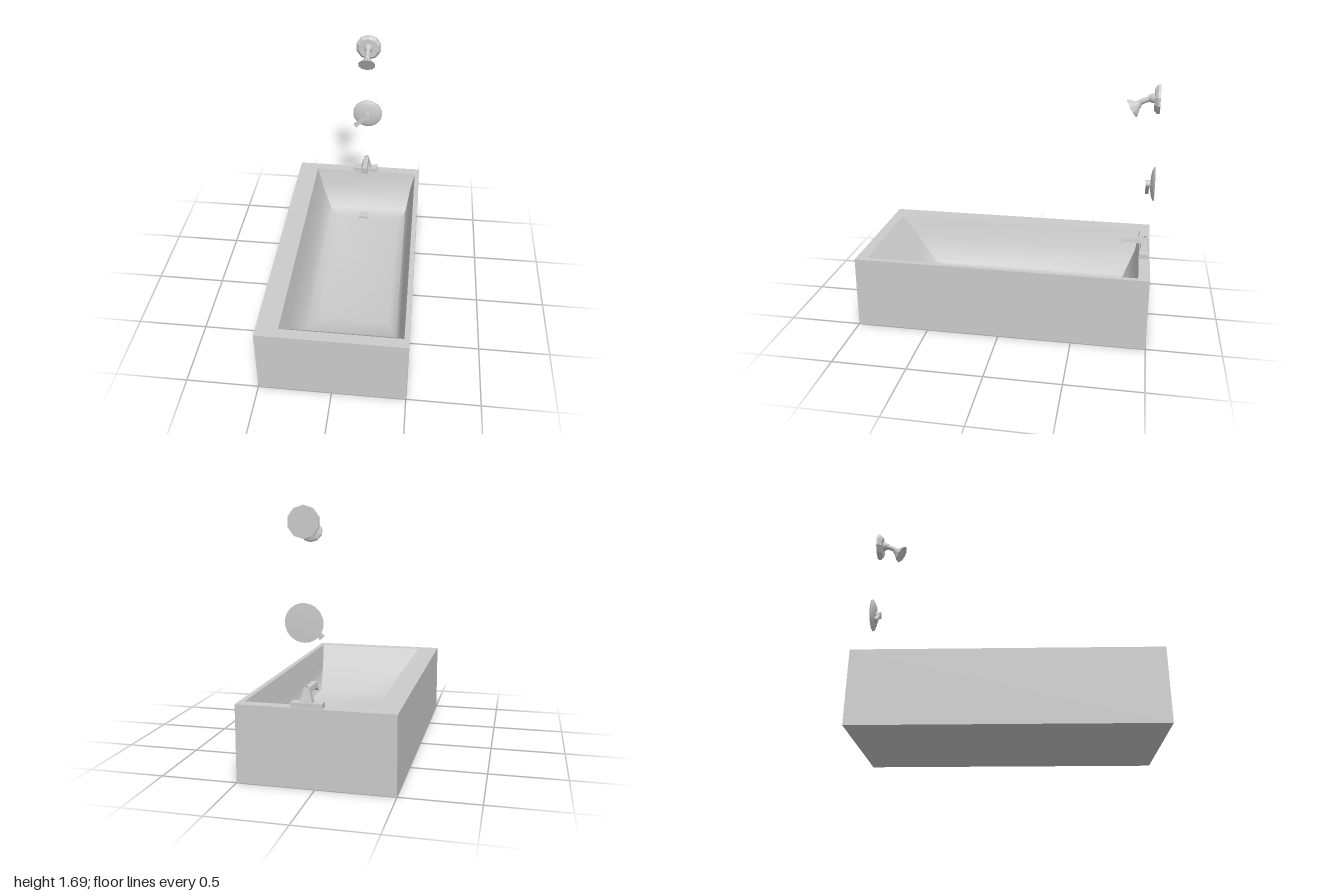
import * as THREE from 'three';
import { toCreasedNormals } from 'three/addons/utils/BufferGeometryUtils.js';

const smooth = new THREE.MeshStandardMaterial({ color: 0xcccccc, side: THREE.DoubleSide });
const flat = new THREE.MeshStandardMaterial({ color: 0xcccccc, flatShading: true });
const CX = 0.055; // all fittings share this centre line

function add(parent, name, geometry, material = flat, x = 0, y = 0, z = 0) {
  const mesh = new THREE.Mesh(geometry, material);
  mesh.name = name;
  mesh.position.set(x, y, z);
  parent.add(mesh);
  return mesh;
}

// Lathe whose axis points along +z; profile is [radius, distance]
function latheZ(profile, sides) {
  const points = profile.map(([r, d]) => new THREE.Vector2(r, d));
  return new THREE.LatheGeometry(points, sides).rotateX(Math.PI / 2);
}

// Four-sided tapered block centred on x and z, standing on y = 0
function taperedBlock(w0, d0, w1, d1, h) {
  const g = new THREE.BoxGeometry(1, h, 1).translate(0, h / 2, 0);
  const p = g.attributes.position;
  for (let i = 0; i < p.count; i++) {
    const top = p.getY(i) > h / 2;
    p.setX(i, p.getX(i) * (top ? w1 : w0));
    p.setZ(i, p.getZ(i) * (top ? d1 : d0));
  }
  return g;
}

// Closed skin of rectangular rings [x0, x1, z0, z1, y], seen from inside
function basinSkin(rings) {
  const positions = [], index = [];
  for (const [x0, x1, z0, z1, y] of rings)
    positions.push(x0, y, z0, x1, y, z0, x1, y, z1, x0, y, z1);
  for (let r = 0; r < rings.length - 1; r++)
    for (let i = 0; i < 4; i++) {
      const a = r * 4 + i, b = r * 4 + (i + 1) % 4;
      index.push(a, a + 4, b, b, a + 4, b + 4);
    }
  const f = (rings.length - 1) * 4;
  index.push(f, f + 2, f + 1, f, f + 3, f + 2);
  const g = new THREE.BufferGeometry();
  g.setAttribute('position', new THREE.Float32BufferAttribute(positions, 3));
  g.setIndex(index);
  return toCreasedNormals(g, 1.1);
}

function rectangle(Type, x0, x1, y0, y1) {
  return new Type([[x0, y0], [x1, y0], [x1, y1], [x0, y1]].map(([x, y]) => new THREE.Vector2(x, y)));
}

function makeTub() {
  const tub = new THREE.Group();
  tub.name = 'bathtub';
  // Block with an off-centre opening
  const outline = rectangle(THREE.Shape, -0.5, 0.5, -1, 1);
  outline.holes.push(rectangle(THREE.Path, -0.35, 0.465, -0.925, 0.925));
  const shell = new THREE.ExtrudeGeometry(outline, { depth: 0.5, bevelEnabled: false });
  add(tub, 'tubShell', shell.rotateX(-Math.PI / 2));
  add(tub, 'tubBottom', new THREE.BoxGeometry(1, 0.02, 2), flat, 0, 0.01, 0);
  // Soft basin: steep at the back, sloping at the front
  add(tub, 'basin', basinSkin([
    [-0.35, 0.465, -0.925, 0.925, 0.5],
    [-0.31, 0.435, -0.9, 0.79, 0.36],
    [-0.23, 0.405, -0.82, 0.62, 0.18],
    [-0.14, 0.35, -0.73, 0.45, 0.15]]), smooth);
  // Low drain block near the back wall
  add(tub, 'drain', new THREE.BoxGeometry(0.07, 0.04, 0.06), flat, CX, 0.15, -0.761);
  return tub;
}

function makeFaucet() {
  const faucet = new THREE.Group();
  faucet.name = 'faucet';
  add(faucet, 'faucetBase', new THREE.BoxGeometry(0.2, 0.03, 0.065), flat, CX - 0.003, 0.515, -0.958);
  add(faucet, 'faucetTower', taperedBlock(0.08, 0.062, 0.03, 0.026, 0.095), flat, CX, 0.528, -0.958);
  add(faucet, 'faucetKnob', new THREE.CylinderGeometry(0.011, 0.007, 0.018, 8), flat, CX, 0.626, -0.962);
  // Spout profile in z and y, narrowing towards its top
  const profile = new THREE.Shape([[-0.955, 0.582], [-0.82, 0.588], [-0.797, 0.563], [-0.79, 0.618], [-0.955, 0.618]]
    .map(([z, y]) => new THREE.Vector2(z, y)));
  const spout = new THREE.ExtrudeGeometry(profile, { depth: 1, bevelEnabled: false });
  spout.rotateY(-Math.PI / 2).translate(0.5, 0, 0);
  const p = spout.attributes.position;
  for (let i = 0; i < p.count; i++) p.setX(i, p.getX(i) * (0.034 + (0.618 - p.getY(i)) * 0.4));
  add(faucet, 'spout', spout, flat, CX, 0, 0);
  return faucet;
}

function makeValve() {
  const valve = new THREE.Group();
  valve.name = 'valve';
  valve.position.set(CX, 1.015, -1);
  add(valve, 'valvePlate', latheZ([[0, 0], [0.117, 0], [0.115, 0.006], [0.09, 0.019], [0.05, 0.026], [0, 0.028]], 32), smooth);
  add(valve, 'valveStem', latheZ([[0.026, 0.02], [0.026, 0.06], [0, 0.06]], 16));
  // Lever points down and to the side
  const lever = add(valve, 'valveLever', taperedBlock(0.018, 0.022, 0.034, 0.024, 0.132), flat, 0, 0, 0.046);
  lever.rotation.z = Math.PI / 2 + 0.76;
  return valve;
}

function makeShower() {
  const shower = new THREE.Group();
  shower.name = 'shower';
  add(shower, 'showerFlange', latheZ([[0, 0], [0.097, 0], [0.097, 0.016], [0.077, 0.036], [0, 0.036]], 10), flat, CX, 1.595, -1);
  add(shower, 'armCollar', latheZ([[0.034, 0], [0.031, 0.022], [0.018, 0.045]], 10), smooth, CX, 1.602, -0.968);
  const path = new THREE.CatmullRomCurve3([[1.6, -0.975], [1.593, -0.92], [1.578, -0.885], [1.552, -0.845]]
    .map(([y, z]) => new THREE.Vector3(CX, y, z)));
  add(shower, 'showerArm', new THREE.TubeGeometry(path, 8, 0.018, 10), smooth);
  // Flared head tilted down and forward
  const head = add(shower, 'showerHead',
    latheZ([[0, -0.062], [0.022, -0.062], [0.028, -0.045], [0.062, -0.01], [0.066, 0], [0, 0]], 10), flat, CX, 1.53, -0.818);
  head.rotation.x = 0.54;
  return shower;
}

export function createModel() {
  const model = new THREE.Group();
  model.name = 'bathtubWithShower';
  model.add(makeTub(), makeFaucet(), makeValve(), makeShower());
  return model;
}
